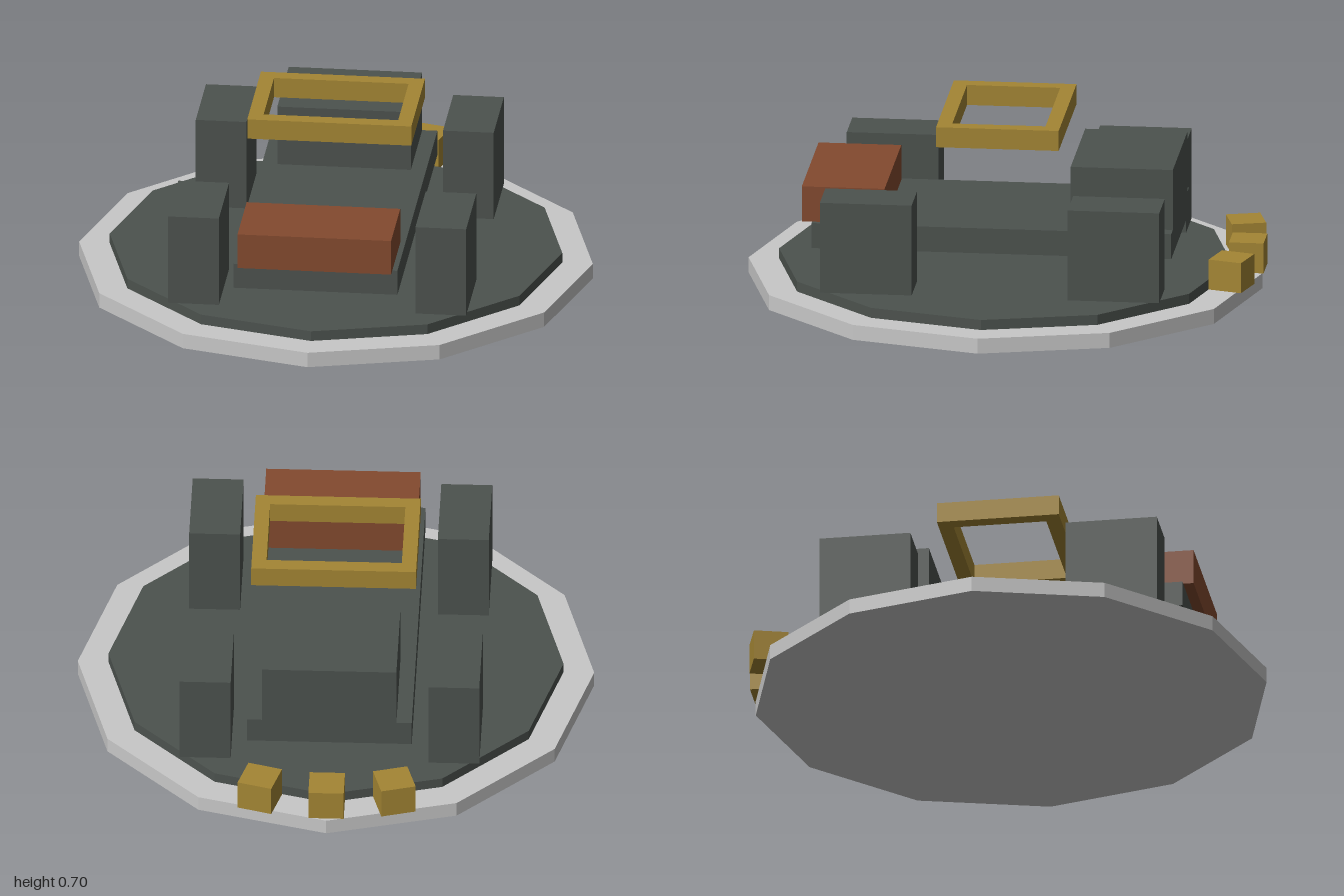
import * as THREE from 'three';

const flat = (name, color) => {
  const m = new THREE.MeshStandardMaterial({ color });
  m.name = name;
  return m;
};

export function createModel() {
  const model = new THREE.Group();
  model.name = 'vehicleOnPlinth';
  const paleGrey = flat('paleGrey', 0xc8c8c8);
  const darkGrey = flat('darkGrey', 0x4c524e);
  const rust = flat('rust', 0x834a2f);
  const gold = flat('gold', 0xa48634);
  const midZ = 0.005;

  const add = (name, geometry, material) => {
    const mesh = new THREE.Mesh(geometry, material);
    mesh.name = name;
    model.add(mesh);
    return mesh;
  };

  // Box given by its lower and upper bounds
  const box = (name, material, [x0, x1], [y0, y1], [z0, z1]) => {
    const mesh = add(name, new THREE.BoxGeometry(x1 - x0, y1 - y0, z1 - z0), material);
    mesh.position.set((x0 + x1) / 2, (y0 + y1) / 2, (z0 + z1) / 2);
    return mesh;
  };

  // Twelve-sided disc with hard edges between its sides
  const disc = (name, material, radius, y0, y1) => {
    const g = new THREE.CylinderGeometry(radius, radius, y1 - y0, 12).toNonIndexed();
    g.computeVertexNormals();
    add(name, g, material).position.set(0, (y0 + y1) / 2, midZ);
  };

  // Stepped plinth
  disc('plinthRim', paleGrey, 0.993, 0, 0.06);
  disc('plinthTop', darkGrey, 0.875, 0.06, 0.1);

  // Chassis, hood and rear cabin
  box('chassis', darkGrey, [-0.317, 0.317], [0.2, 0.3], [-0.67, 0.72]);
  box('hood', rust, [-0.297, 0.297], [0.3, 0.44], [0.44, 0.76]);
  box('cabin', darkGrey, [-0.258, 0.258], [0.3, 0.54], [-0.67, -0.275]);

  // Four block wheels
  for (const [side, s] of [['left', 1], ['right', -1]]) {
    const xs = s > 0 ? [0.38, 0.576] : [-0.576, -0.38];
    box(`${side}FrontWheel`, darkGrey, xs, [0.1, 0.46], [0.305, 0.66]);
    box(`${side}RearWheel`, darkGrey, xs, [0.1, 0.46], [-0.652, -0.298]);
  }

  // Floating roof frame with a rectangular opening
  const rectangle = (Type, w, d) => new Type([
    new THREE.Vector2(-w, -d), new THREE.Vector2(w, -d),
    new THREE.Vector2(w, d), new THREE.Vector2(-w, d),
  ]);
  const frame = rectangle(THREE.Shape, 0.317, 0.237);
  frame.holes.push(rectangle(THREE.Path, 0.26, 0.18));
  const frameGeometry = new THREE.ExtrudeGeometry(frame, { depth: 0.08, bevelEnabled: false });
  frameGeometry.rotateX(-Math.PI / 2);
  add('roofFrame', frameGeometry, gold).position.set(0, 0.62, 0.002);

  // Three markers fanned along the rear rim
  for (const i of [-1, 0, 1]) {
    const a = i * THREE.MathUtils.degToRad(16);
    const marker = add('rearMarker', new THREE.BoxGeometry(0.136, 0.12, 0.134), gold);
    marker.position.set(0.938 * Math.sin(a), 0.14, midZ - 0.938 * Math.cos(a));
    marker.rotation.y = -a;
  }

  return model;
}
